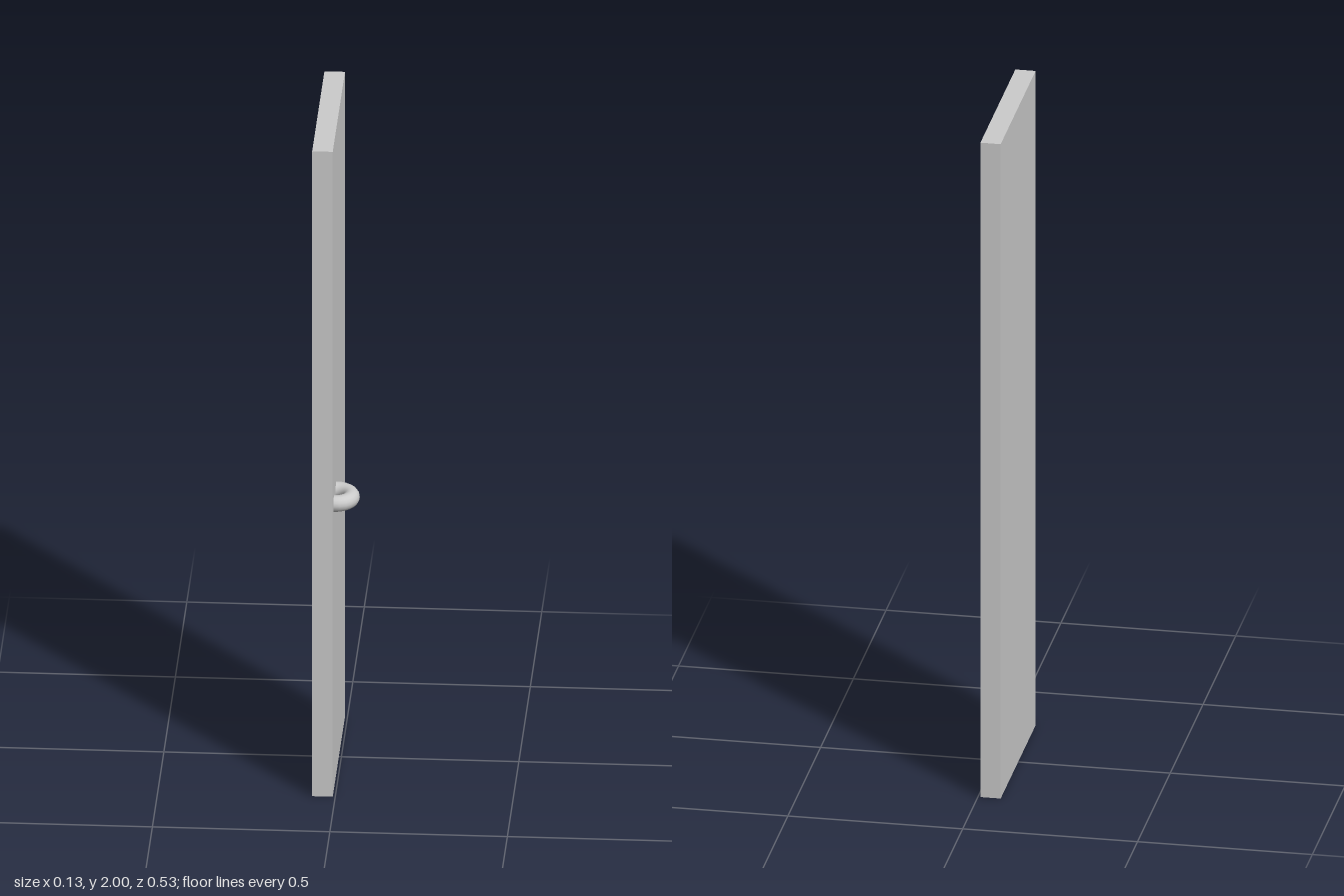
import * as THREE from 'three';

export function createModel() {
  const group = new THREE.Group();
  const material = new THREE.MeshStandardMaterial({ color: 0xcccccc });
  const faceX = -0.007; // side of the panel that carries the handle
  const thickness = 0.058;

  // Flat door panel standing on the ground
  const panel = new THREE.Mesh(new THREE.BoxGeometry(thickness, 2, 0.534), material);
  panel.name = 'doorPanel';
  panel.position.set(faceX - thickness / 2, 1, 0);
  group.add(panel);

  // Half-ring handle lying level, its ends meeting the panel
  const ring = new THREE.TorusGeometry(0.0465, 0.0235, 16, 12, Math.PI);
  ring.rotateZ(-Math.PI / 2).rotateX(Math.PI / 2);
  const handle = new THREE.Mesh(ring, material);
  handle.name = 'handle';
  handle.position.set(faceX, 0.885, 0.168);
  group.add(handle);

  return group;
}
